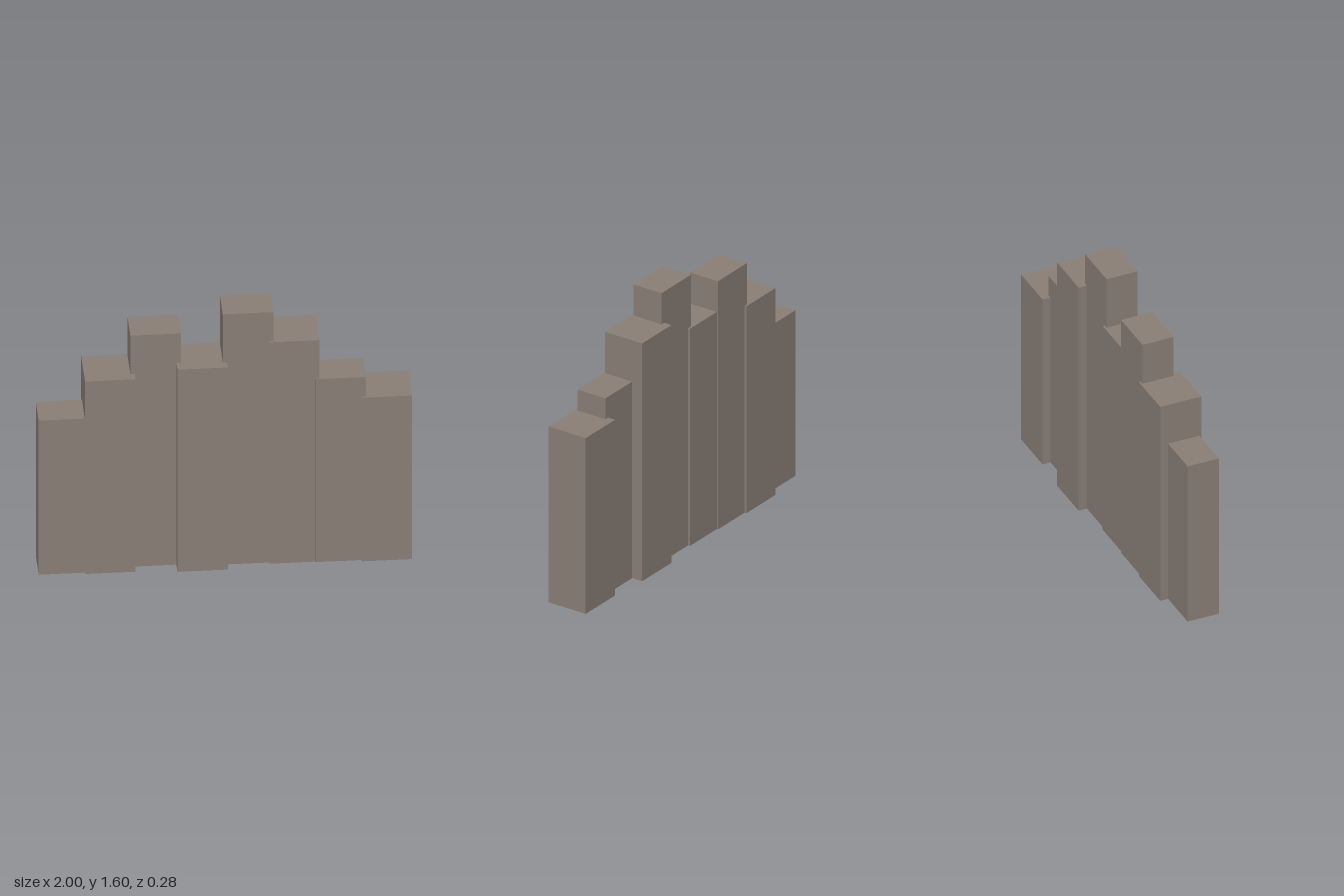
import * as THREE from 'three';

// Row of overlapping upright slabs: [height, back z, front z], from right (-x) to left (+x)
const SLABS = [
  [0.987, -0.077, 0.107],
  [1.233, -0.123, 0.12],
  [1.48, -0.112, 0.07],
  [1.295, -0.105, 0.14],
  [1.603, -0.093, 0.09],
  [1.418, -0.142, 0.102],
  [1.172, -0.077, 0.107],
  [1.048, -0.123, 0.12],
];
const WIDTH = 0.271;
const PITCH = (2 - WIDTH) / (SLABS.length - 1);

export function createModel() {
  const group = new THREE.Group();
  group.name = 'steppedSlabWall';

  const stone = new THREE.MeshStandardMaterial({ color: 0x8a7f77 });
  stone.name = 'warm grey stone';

  SLABS.forEach(([height, back, front], i) => {
    const slab = new THREE.Mesh(new THREE.BoxGeometry(WIDTH, height, front - back), stone);
    slab.name = `slab${i + 1}`;
    slab.position.set(-1 + WIDTH / 2 + i * PITCH, height / 2, (front + back) / 2);
    group.add(slab);
  });

  return group;
}
